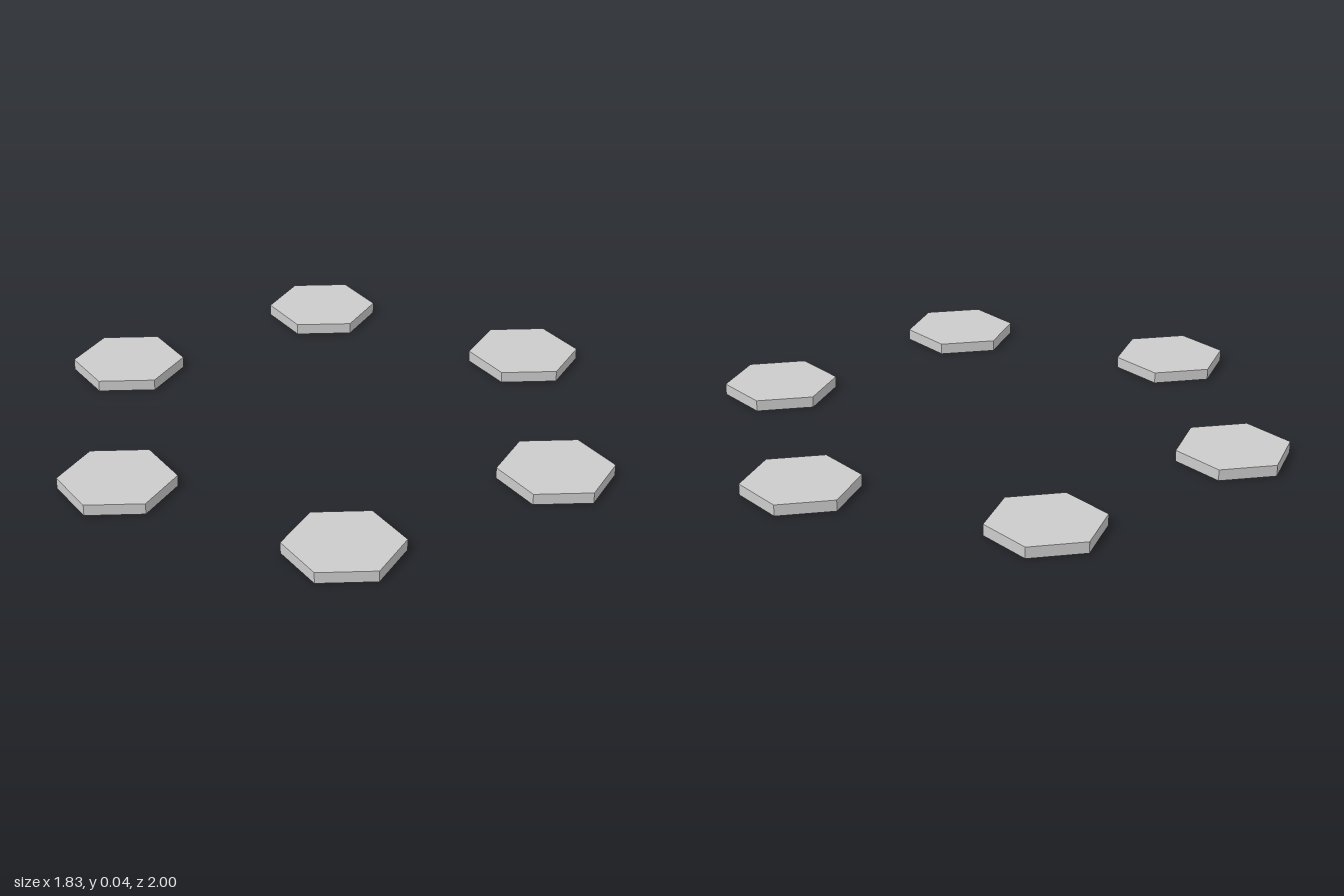
import * as THREE from 'three';

const RING_RADIUS = 0.829; // centre of the ring to the centre of each tile
const TILE_RADIUS = 0.197; // centre of a tile to its corners
const TILE_HEIGHT = 0.039;

export function createModel() {
  const model = new THREE.Group();
  model.name = 'hexTileRing';

  const material = new THREE.MeshStandardMaterial({ color: 0xcccccc, flatShading: true });

  // Hexagonal slab with corners pointing to +x and -x, standing on y = 0
  const tileGeometry = new THREE.CylinderGeometry(TILE_RADIUS, TILE_RADIUS, TILE_HEIGHT, 6);
  tileGeometry.rotateY(Math.PI / 2);
  tileGeometry.translate(0, TILE_HEIGHT / 2, 0);

  // Six equal tiles around the ring, all keeping the same orientation
  for (let i = 0; i < 6; i++) {
    const angle = (i * Math.PI) / 3;
    const tile = new THREE.Mesh(tileGeometry, material);
    tile.name = `hexTile${i + 1}`;
    tile.position.set(Math.sin(angle) * RING_RADIUS, 0, Math.cos(angle) * RING_RADIUS);
    model.add(tile);
  }

  return model;
}
